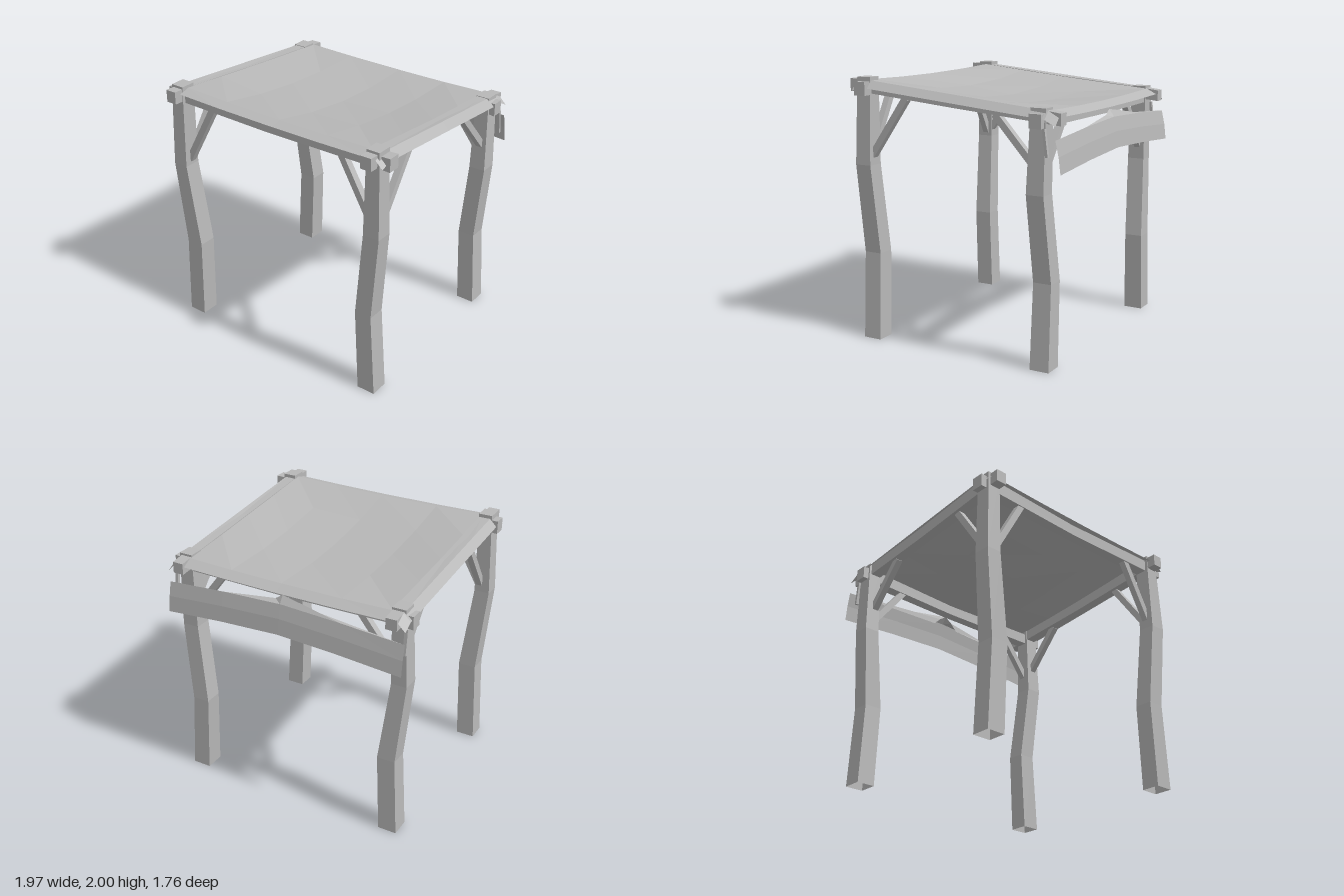
import * as THREE from 'three';

const grey = new THREE.MeshStandardMaterial({ color: 0xb8b8b8, side: THREE.DoubleSide });
grey.name = 'plain grey';

// Faceted mesh from a list of triangles' corner points
function facets(name, points) {
  const g = new THREE.BufferGeometry();
  g.setAttribute('position', new THREE.Float32BufferAttribute(points.flat(), 3));
  g.computeVertexNormals();
  const m = new THREE.Mesh(g, grey);
  m.name = name;
  return m;
}

const quad = (a, b, c, d) => [a, b, c, a, c, d];

// Square timber through rings of four corners
function timber(name, rings, capStart = true) {
  const p = [];
  for (let r = 0; r < rings.length - 1; r++) {
    for (let i = 0; i < 4; i++) {
      const j = (i + 1) % 4;
      p.push(...quad(rings[r][i], rings[r][j], rings[r + 1][j], rings[r + 1][i]));
    }
  }
  const s = rings[0], e = rings[rings.length - 1];
  if (capStart) p.push(...quad(s[3], s[2], s[1], s[0]));
  p.push(...quad(e[0], e[1], e[2], e[3]));
  return facets(name, p);
}

// Sheet from a grid of points, facing up or outward
function sheet(name, rows) {
  const p = [];
  for (let r = 0; r < rows.length - 1; r++) {
    for (let c = 0; c < rows[r].length - 1; c++) {
      p.push(...quad(rows[r][c], rows[r + 1][c], rows[r + 1][c + 1], rows[r][c + 1]));
    }
  }
  return facets(name, p);
}

// Post rings: [x0, x1, z0, z1, y]
const postRing = ([x0, x1, z0, z1, y]) => [[x0, y, z1], [x1, y, z1], [x1, y, z0], [x0, y, z0]];
// Crossbeam rings: [x, y0, y1, z0, z1]
const crossRing = ([x, y0, y1, z0, z1]) => [[x, y0, z1], [x, y0, z0], [x, y1, z0], [x, y1, z1]];
// Side beam rings: [z, y0, y1, x0, x1]
const sideRing = ([z, y0, y1, x0, x1]) => [[x0, y0, z], [x1, y0, z], [x1, y1, z], [x0, y1, z]];

// Diagonal brace between two points
function brace(a, b) {
  const from = new THREE.Vector3(...a), to = new THREE.Vector3(...b);
  const m = new THREE.Mesh(new THREE.BoxGeometry(0.05, 0.05, from.distanceTo(to)), grey);
  m.position.copy(from).add(to).multiplyScalar(0.5);
  m.lookAt(to);
  m.name = 'brace';
  return m;
}

export function createModel() {
  const model = new THREE.Group();
  model.name = 'canopyShelter';

  // Crooked posts, open at the foot
  const xs = {
    right: [[-0.925, -0.78], [-0.895, -0.755], [-0.955, -0.835], [-0.935, -0.83]],
    left: [[0.765, 0.91], [0.735, 0.87], [0.805, 0.935], [0.81, 0.915]],
  };
  const zs = {
    front: [[0.665, 0.81, 0], [0.67, 0.81, 0.67], [0.695, 0.825, 1.35], [0.69, 0.805, 2]],
    back: [[-0.78, -0.63, 0], [-0.775, -0.635, 0.63], [-0.745, -0.61, 1.26], [-0.75, -0.635, 1.855]],
  };
  for (const end of ['front', 'back']) {
    for (const side of ['left', 'right']) {
      const rings = xs[side].map((x, i) => postRing([...x, ...zs[end][i]]));
      model.add(timber(end + side + 'Post', rings, false));
    }
  }

  // Crossbeams, slightly bent at the middle
  model.add(timber('frontBeam', [
    [-0.985, 1.865, 1.965, 0.69, 0.785], [-0.85, 1.87, 1.965, 0.695, 0.785],
    [-0.05, 1.855, 1.94, 0.70, 0.78], [0.85, 1.87, 1.965, 0.695, 0.785],
    [0.985, 1.87, 1.97, 0.69, 0.785]].map(crossRing)));
  model.add(timber('backBeam', [
    [-0.985, 1.715, 1.815, -0.74, -0.645], [-0.85, 1.725, 1.815, -0.74, -0.65],
    [-0.05, 1.72, 1.80, -0.75, -0.67], [0.85, 1.725, 1.815, -0.74, -0.65],
    [0.965, 1.72, 1.82, -0.74, -0.645]].map(crossRing)));

  // Side beams, sloping down to the back
  for (const [name, x0, x1] of [['rightBeam', -0.92, -0.835], ['leftBeam', 0.815, 0.9]]) {
    model.add(timber(name, [
      [-0.855, 1.74, 1.825, x0, x1], [-0.7, 1.755, 1.845, x0, x1],
      [0, 1.815, 1.905, x0 + 0.005, x1], [0.75, 1.885, 1.98, x0, x1],
      [0.88, 1.89, 1.985, x0, x1]].map(sideRing)));
  }

  // Braces at every corner
  for (const s of [-1, 1]) {
    model.add(brace([s * 0.85, 1.39, 0.75], [s * 0.575, 1.88, 0.75]));
    model.add(brace([s * 0.85, 1.37, -0.69], [s * 0.56, 1.74, -0.69]));
    model.add(brace([s * 0.87, 1.42, 0.71], [s * 0.87, 1.86, 0.40]));
    model.add(brace([s * 0.87, 1.46, -0.64], [s * 0.87, 1.79, -0.34]));
  }

  // Sagging cloth roof with a drooping hem
  const cols = [-0.975, -0.92, -0.84, -0.45, 0.03, 0.45, 0.82, 0.9, 0.955];
  const rows = [-0.84, -0.76, -0.35, 0, 0.38, 0.745, 0.83];
  model.add(sheet('clothRoof', rows.map((z, r) => cols.map((x, c) => {
    const across = Math.max(0, 1 - (x / 0.88) ** 2);
    const along = Math.max(0, 1 - (z / 0.78) ** 2);
    let y = 1.91 + 0.094 * z - 0.07 * across * along - 0.012 * across;
    if (c === 0 || c === cols.length - 1) y -= 0.055;
    if (r === 0 || r === rows.length - 1) y -= 0.035;
    return [x, y, z];
  }))));

  // Hanging cloth flap at the back, arched in the middle
  const flap = [[-0.88, 1.42, 1.48], [-0.865, 1.54, 1.60], [-0.84, 1.65, 1.705], [-0.80, 1.66, 1.76]];
  model.add(sheet('backFlap', flap.map(([z, ends, mid], r) => {
    const h = r === 3 ? 0.12 : 0.97;
    return [-h, -h / 2, 0, h / 2, h * 0.985].map((x, c) =>
      [x - 0.005, mid + (ends - mid) * [1, 0.4, 0, 0.4, 1][c], z]);
  })));

  // Short loose ties beside the back posts
  for (const s of [-1, 1]) {
    const tie = new THREE.Mesh(new THREE.BoxGeometry(0.025, 0.19, 0.02), grey);
    tie.position.set(s * 0.945, 1.625, -0.765);
    tie.rotation.x = 0.13;
    tie.name = 'tie';
    model.add(tie);
  }
  return model;
}
